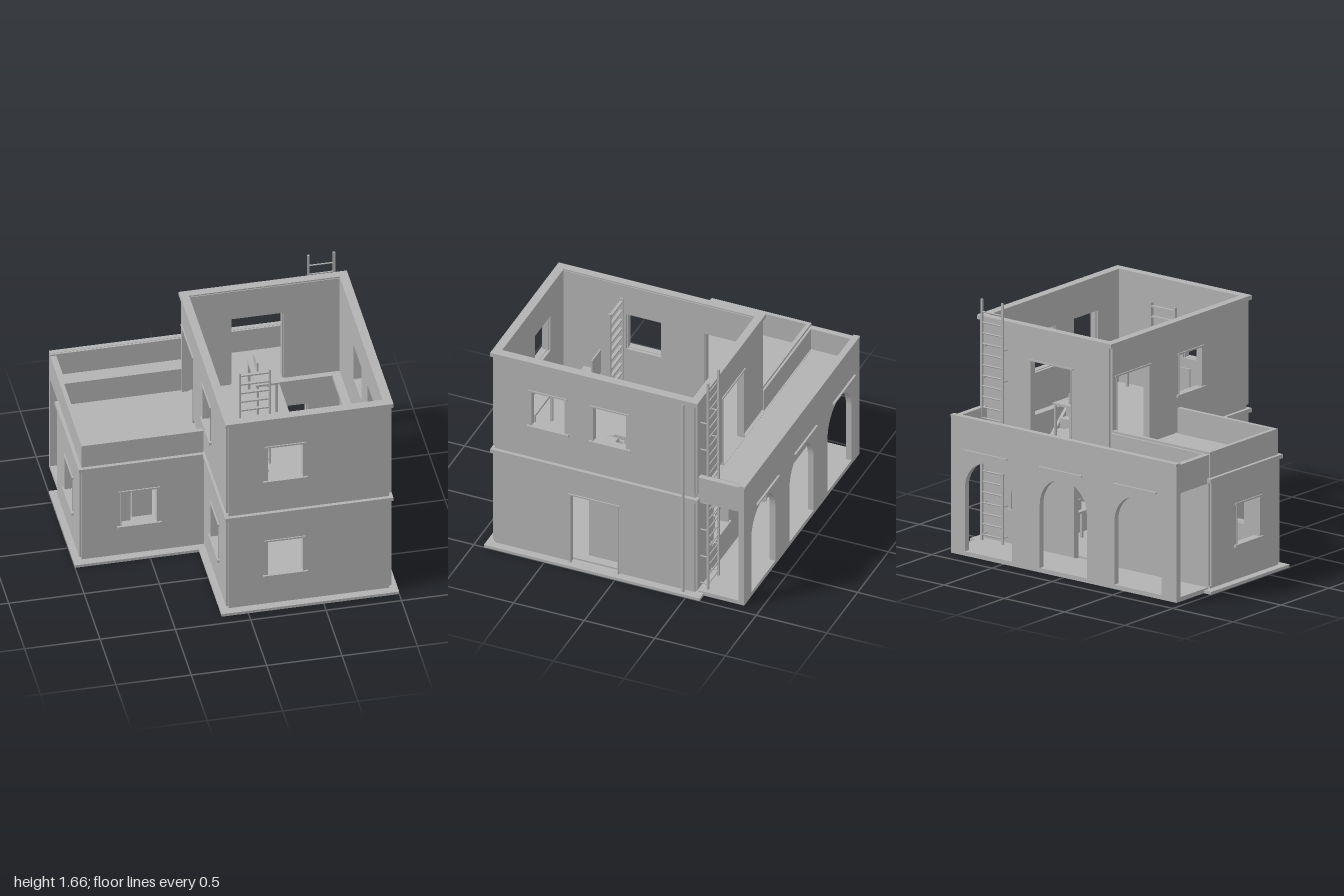
import * as THREE from 'three';

const plaster = new THREE.MeshStandardMaterial({ color: 0xb2b2b2 });
plaster.name = 'plaster grey';

// Outer faces of the structural walls
const X0 = -0.945, XM = -0.122, X1 = 0.945, ZB = -0.545, ZM = 0.163, ZF = 0.873;
const T = 0.036, SKIN = 0.015;

export function createModel() {
  const model = new THREE.Group();
  model.name = 'twoStoreyHouse';

  const add = (name, geo, parent = model) => {
    const m = new THREE.Mesh(geo, plaster);
    m.name = name;
    parent.add(m);
    return m;
  };
  // Box from its min and max on each axis
  const box = (name, x0, x1, y0, y1, z0, z1, parent) => {
    const g = new THREE.BoxGeometry(x1 - x0, y1 - y0, z1 - z0);
    g.translate((x0 + x1) / 2, (y0 + y1) / 2, (z0 + z1) / 2);
    return add(name, g, parent);
  };
  const rectPath = (a, b, c, d) => new THREE.Path([[a, c], [b, c], [b, d], [a, d]].map(p => new THREE.Vector2(...p)));
  const extrude = (shape, depth) => new THREE.ExtrudeGeometry(shape, { depth, bevelEnabled: false, curveSegments: 20 });

  // Upright sheet: axis 'z' runs along x, axis 'x' runs along z; openings are [u0, u1, y0, y1]
  const sheet = (name, axis, pos, t, u0, u1, y0, y1, openings, parent) => {
    const s = new THREE.Shape();
    s.moveTo(u0, y0);
    for (const [a, b, c, d] of [...openings].sort((p, q) => p[0] - q[0])) {
      if (c <= y0) { s.lineTo(a, y0); s.lineTo(a, d); s.lineTo(b, d); s.lineTo(b, y0); }
      else s.holes.push(rectPath(a, b, c, d));
    }
    s.lineTo(u1, y0); s.lineTo(u1, y1); s.lineTo(u0, y1); s.closePath();
    const g = extrude(s, t);
    if (axis === 'x') { g.rotateY(-Math.PI / 2); g.translate(pos + t, 0, 0); }
    else g.translate(0, 0, pos);
    return add(name, g, parent);
  };

  // Wall with core, raised outer skin, and trim round each opening. out is +1 or -1
  const wall = (name, axis, face, out, u0, u1, floor, openings) => {
    const g = new THREE.Group();
    g.name = name;
    model.add(g);
    const upper = floor === 1;
    sheet('wallCore', axis, out > 0 ? face - T : face, T, u0, u1, upper ? 0.765 : 0.02, upper ? 1.52 : 0.765, openings, g);
    sheet('wallSkin', axis, out > 0 ? face : face - SKIN, SKIN, u0, u1, upper ? 0.797 : 0.04, upper ? 1.5 : 0.74, openings, g);
    const outer = face + out * SKIN;
    const trim = (part, a, b, c, d, inset, proud) => {
      const p = outer - out * inset, q = outer + out * proud, lo = Math.min(p, q), hi = Math.max(p, q);
      axis === 'x' ? box(part, lo, hi, c, d, a, b, g) : box(part, a, b, c, d, lo, hi, g);
    };
    for (const [a, b, c, d] of openings) {
      const door = d - c > 0.4;
      trim('lintel', a - 0.012, b + 0.012, d - 0.002, d + 0.009, 0.03, 0.008);
      if (!door) trim('sill', a - 0.022, b + 0.022, c - 0.014, c + 0.004, 0.03, 0.015);
      for (const u of [a, b - 0.008]) trim('jamb', u, u + 0.008, c, d, 0.04, 0.004);
    }
  };
  const win = (u, floor) => [u, u + 0.25, floor ? 1.025 : 0.26, floor ? 1.298 : 0.535];
  const door = (u, floor) => [u, u + 0.348, floor ? 0.765 : 0.02, floor ? 1.298 : 0.557];

  // Ground storey
  wall('groundFrontWall', 'z', ZF, 1, XM, X1, 0, [win(0.128, 0)]);
  wall('groundRightWall', 'x', X1, 1, ZB, ZF, 0, [door(-0.01, 0)]);
  wall('groundBackWall', 'z', ZB, -1, X0, X1, 0, [door(-0.174, 0), win(0.445, 0)]);
  wall('wingSideWall', 'x', X0, -1, ZB, ZM, 0, [win(-0.29, 0)]);
  wall('wingFrontWall', 'z', ZM, 1, X0, XM, 0, [win(-0.692, 0)]);
  wall('groundSideWall', 'x', XM, -1, ZM, ZF, 0, [win(0.402, 0)]);

  // Upper storey
  wall('upperFrontWall', 'z', ZF, 1, XM, X1, 1, [win(0.128, 1)]);
  wall('upperRightWall', 'x', X1, 1, ZB, ZF, 1, [win(-0.072, 1), win(0.366, 1)]);
  wall('upperBackWall', 'z', ZB, -1, XM, X1, 1, [door(0.187, 1)]);
  wall('upperSideWall', 'x', XM, -1, ZB, ZF, 1, [win(0.143, 1), door(-0.505, 1)]);

  // Flat slab from plan corners [x, z], with rectangular holes [x0, x1, z0, z1]
  const slab = (name, pts, y0, y1, holes = []) => {
    const s = new THREE.Shape(pts.map(([x, z]) => new THREE.Vector2(x, -z)));
    for (const [a, b, c, d] of holes) s.holes.push(rectPath(a, b, -d, -c));
    const g = extrude(s, y1 - y0);
    g.rotateX(-Math.PI / 2);
    g.translate(0, y0, 0);
    return add(name, g);
  };
  const ell = o => [[X0 - o, ZB - o], [X1 + o, ZB - o], [X1 + o, ZF + o], [XM - o, ZF + o], [XM - o, ZM + o], [X0 - o, ZM + o]];
  const rect = (a, b, c, d) => [[a, c], [b, c], [b, d], [a, d]];
  const stairHole = [0.497, 0.853, -0.467, 0.25];
  slab('plinth', ell(0.055), 0, 0.02);
  slab('groundFloor', ell(-0.03), 0.02, 0.032);
  slab('upperFloorAndCornice', ell(0.024), 0.74, 0.767, [stairHole]);
  slab('topCornice', rect(XM - 0.024, X1 + 0.024, ZB - 0.024, ZF + 0.024), 1.5, 1.53,
    [[XM + 0.031, X1 - T, ZB + 0.031, ZF - T]]);

  // Terrace parapet on the low wing
  const PT = 0.028;
  box('terraceParapetFront', X0, XM - SKIN, 0.767, 0.94, ZM - PT, ZM);
  box('terraceParapetBack', X0, XM - SKIN, 0.767, 0.94, ZB, ZB + PT);
  box('terraceParapetSide', X0, X0 + PT, 0.767, 0.94, ZB + PT, ZM - PT);

  // Rear arcade: arched wall, floor, roof with ladder hatch, end beams
  const AL = -0.94, AR = 0.932, AB = -0.885, R = 0.195, SPRING = 0.46;
  const arcade = new THREE.Shape();
  arcade.moveTo(AL, 0);
  arcade.lineTo(AR, 0);
  arcade.lineTo(AR, 0.935);
  arcade.lineTo(AL, 0.935);
  arcade.closePath();
  for (const cx of [-0.62, 0, 0.62]) {
    const h = new THREE.Path();
    h.moveTo(cx - R, 0.03);
    h.lineTo(cx + R, 0.03);
    h.lineTo(cx + R, SPRING);
    h.absarc(cx, SPRING, R, 0, Math.PI, false);
    h.closePath();
    arcade.holes.push(h);
    box('archCanopyStrip', cx - 0.178, cx + 0.178, 0.718, 0.728, -0.925, -0.911);
  }
  add('arcadeWall', extrude(arcade, 0.04).translate(0, 0, AB));
  box('arcadeCoping', AL, AR, 0.921, 0.937, AB - 0.006, AB + 0.027);
  box('arcadeFloor', AL, AR, 0, 0.03, AB + 0.03, -0.56);
  slab('arcadeRoof', rect(AL + 0.01, AR - 0.01, AB + 0.03, -0.56), 0.733, 0.765, [[0.68, 0.895, -0.745, -0.575]]);
  box('arcadeEndBeam', AL, AL + 0.04, 0.733, 0.925, AB + 0.04, -0.548);
  box('arcadeEndBeam', AR - 0.04, AR, 0.733, 0.925, AB + 0.04, -0.548);
  box('arcadeInnerParapet', AL, XM - SKIN, 0.765, 0.925, -0.56, -0.545);

  // Roof ladder with wall brackets
  const rod = (name, r, len, axis, x, y, z, parent) => {
    const g = new THREE.CylinderGeometry(r, r, len, 10);
    if (axis === 'x') g.rotateZ(Math.PI / 2);
    if (axis === 'z') g.rotateX(Math.PI / 2);
    return add(name, g.translate(x, y, z), parent);
  };
  const ladder = new THREE.Group();
  ladder.name = 'roofLadder';
  model.add(ladder);
  for (const x of [0.722, 0.893]) {
    box('ladderRail', x - 0.008, x + 0.008, 0.03, 1.66, -0.618, -0.606, ladder);
    for (let k = 0; k < 7; k++) if (k !== 4) rod('ladderBracket', 0.005, 0.055, 'z', x, 0.07 + k * 0.211, -0.585, ladder);
  }
  for (let k = 0; k < 22; k++) rod('ladderRung', 0.005, 0.17, 'x', 0.8075, 0.07 + k * 0.0717, -0.612, ladder);

  // Drain pipe on the right wall
  rod('drainPipe', 0.01, 1.48, 'y', 0.966, 0.76, -0.468);

  // Staircase rising towards the front, closed underneath
  const N = 11, z0 = -0.467, run = 0.717 / N, rise = 0.735 / N;
  for (let i = 0; i < N; i++)
    box('stairStep', 0.52, 0.83, 0.03, 0.03 + rise * (i + 1), z0 + run * i, z0 + run * (i + 1));
  const stringer = [[z0, 0.03], [0.25, 0.03], [0.25, 0.77], [0.22, 0.77], [z0, 0.11]];
  for (const x of [0.499, 0.829]) {
    const s = new THREE.Shape(stringer.map(p => new THREE.Vector2(...p)));
    add('stairStringer', extrude(s, 0.022).rotateY(-Math.PI / 2).translate(x + 0.022, 0, 0));
  }

  // Furniture
  const table = (x0, x1, z0, z1, y, h) => {
    const g = new THREE.Group();
    g.name = 'table';
    model.add(g);
    box('tableTop', x0, x1, y + h - 0.015, y + h, z0, z1, g);
    for (const x of [x0 + 0.005, x1 - 0.02]) for (const z of [z0 + 0.005, z1 - 0.02])
      box('tableLeg', x, x + 0.015, y, y + h - 0.015, z, z + 0.015, g);
  };
  for (const y of [0.032, 0.767]) {
    table(0.28, 0.43, -0.455, -0.155, y, 0.24);
    box('screen', 0.315, 0.325, y + 0.24, y + 0.31, -0.42, -0.3);
  }
  table(0.505, 0.81, 0.645, 0.795, 0.767, 0.24);
  box('screen', 0.54, 0.66, 1.007, 1.075, 0.742, 0.75);
  table(0.06, 0.2, 0.515, 0.63, 0.767, 0.15);
  box('chairBack', 0.06, 0.2, 0.9, 1.08, 0.508, 0.518);
  box('cabinet', -0.72, -0.565, 0.032, 0.317, -0.4, -0.1);
  box('cabinet', -0.535, -0.4, 0.032, 0.325, -0.35, -0.2);

  // Open rack in the upper room
  for (const x of [0.058, 0.255]) box('rackPost', x, x + 0.01, 0.767, 1.53, 0.35, 0.375);
  for (let k = 0; k < 11; k++) box('rackShelf', 0.068, 0.255, 0.8 + k * 0.07, 0.81 + k * 0.07, 0.352, 0.373);

  return model;
}
